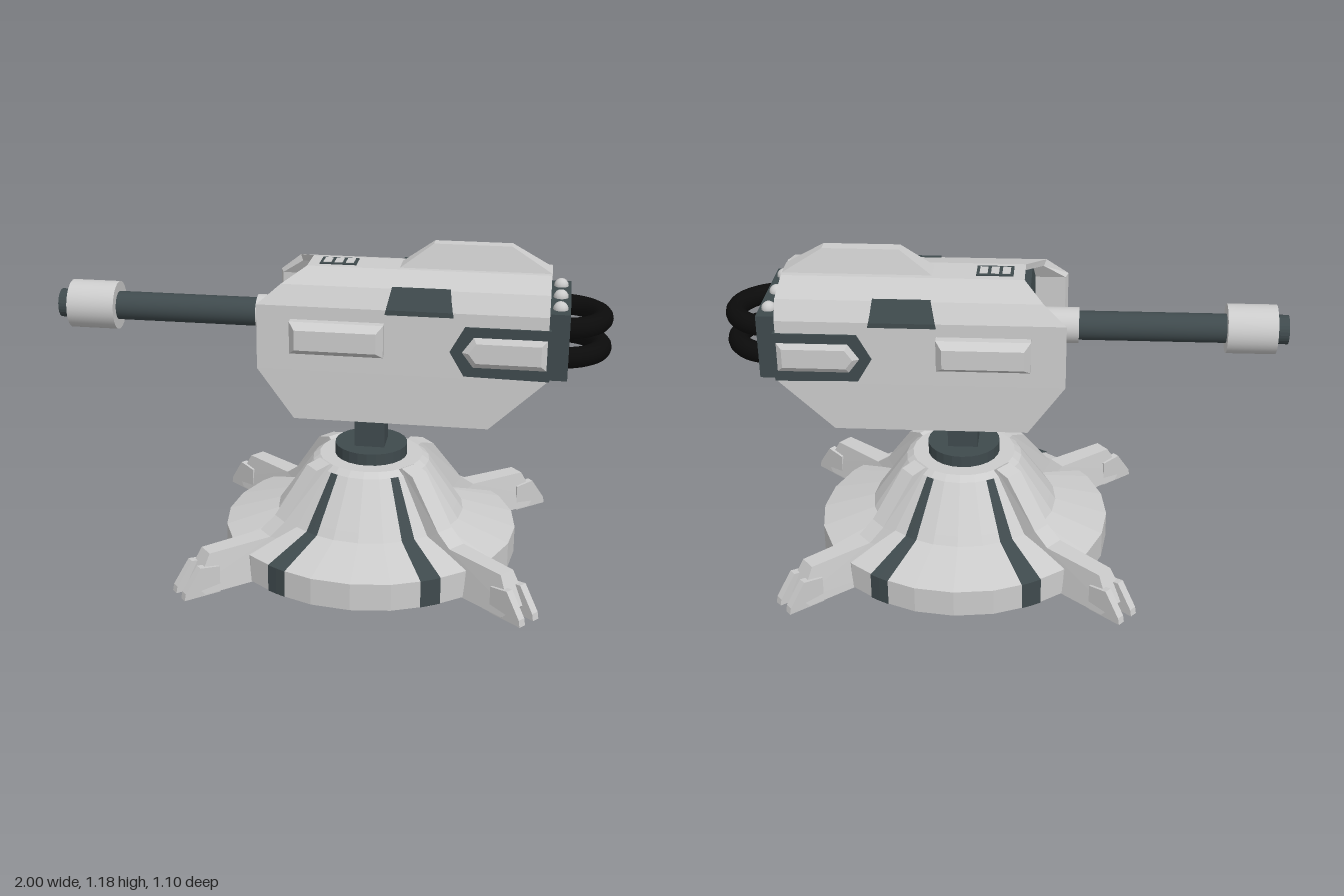
import * as THREE from 'three';

const grey = new THREE.MeshStandardMaterial({ color: 0xcccccc, flatShading: true });
const greySmooth = new THREE.MeshStandardMaterial({ color: 0xcccccc });
const dark = new THREE.MeshStandardMaterial({ color: 0x3f4a4d, flatShading: true });
const darkSmooth = new THREE.MeshStandardMaterial({ color: 0x3f4a4d });
const black = new THREE.MeshStandardMaterial({ color: 0x0b0b0b });

function add(parent, name, geometry, material, x = 0, y = 0, z = 0) {
  const mesh = new THREE.Mesh(geometry, material);
  mesh.name = name;
  mesh.position.set(x, y, z);
  parent.add(mesh);
  return mesh;
}

// Solid along x from a closed loop of [z, y, xStart, xEnd], running from +z over the top to -z
function skin(loop) {
  const pos = [], n = loop.length;
  const p = (i, end) => [loop[i][2 + end], loop[i][1], loop[i][0]];
  const quad = (a, b, c, d) => pos.push(...a, ...b, ...c, ...a, ...c, ...d);
  for (let i = 0; i < n; i++) {
    const j = (i + 1) % n;
    quad(p(i, 0), p(i, 1), p(j, 1), p(j, 0));
  }
  for (let i = 0; i < n / 2 - 1; i++) {
    const ids = [i, i + 1, n - 2 - i, n - 1 - i];
    quad(...ids.map(k => p(k, 0)));
    quad(...ids.reverse().map(k => p(k, 1)));
  }
  const g = new THREE.BufferGeometry();
  g.setAttribute('position', new THREE.Float32BufferAttribute(pos, 3));
  g.computeVertexNormals();
  return g;
}
const mirrored = half => [...half, ...half.map(([z, ...r]) => [-z, ...r]).reverse()];

// Outline in the xy plane extruded from z0 to z1, optionally with a chamfered rim
function plate(points, z0, z1, bevel = 0, inset = bevel) {
  const shape = new THREE.Shape(points.map(q => new THREE.Vector2(...q)));
  const g = new THREE.ExtrudeGeometry(shape, {
    depth: z1 - z0 - 2 * bevel, bevelEnabled: bevel > 0, bevelThickness: bevel,
    bevelSize: inset, bevelOffset: -inset, bevelSegments: 1,
  });
  return g.translate(0, 0, z0 + bevel);
}
const rect = (x0, x1, y0, y1) => [[x0, y0], [x1, y0], [x1, y1], [x0, y1]];

function createBase() {
  const base = new THREE.Group();
  base.name = 'base';
  base.position.x = 0.155;
  const v = (x, y) => new THREE.Vector2(x, y);
  const profile = [v(0.54, 0.01), v(0.54, 0.11), v(0.345, 0.17), v(0.325, 0.2), v(0.215, 0.36)];
  add(base, 'baseCone', new THREE.LatheGeometry([v(0, 0.01), ...profile, v(0.19, 0.378), v(0, 0.378)], 24), grey);

  // Dark inlaid stripes running down the cone
  const stripe = profile.map(q => v(q.x + 0.003, q.y + 0.003));
  for (const deg of [30, 150, 210, 330]) {
    const a = THREE.MathUtils.degToRad(deg), w = THREE.MathUtils.degToRad(8);
    add(base, 'stripe', new THREE.LatheGeometry(stripe, 2, a - w / 2, w), dark);
  }

  // Four legs, narrower towards the top, each ending in two claws
  const legOutline = [[0.15, 0.012], [0.72, 0.005], [0.75, 0.04], [0.69, 0.15], [0.45, 0.157],
    [0.39, 0.2], [0.255, 0.37], [0.2, 0.385], [0.15, 0.36]];
  const legGeo = plate(legOutline, -0.06, 0.06);
  const p = legGeo.attributes.position;
  for (let i = 0; i < p.count; i++) {
    const taper = 1 - 2.6 * Math.min(p.getY(i), 0.16);
    const reach = p.getX(i) > 0.65 ? 0.85 : 1;
    p.setZ(i, p.getZ(i) * taper * reach);
  }
  legGeo.computeVertexNormals();
  const claw = [[0.66, 0], [0.8, 0], [0.795, 0.025], [0.735, 0.11], [0.66, 0.1]];
  for (const deg of [40, 140, 220, 320]) {
    const leg = new THREE.Group();
    leg.name = 'leg';
    leg.rotation.y = THREE.MathUtils.degToRad(deg);
    add(leg, 'legBeam', legGeo, grey);
    for (const s of [-1, 1]) add(leg, 'claw', plate(claw, -0.014, 0.014), grey, 0, 0, s * 0.034);
    base.add(leg);
  }
  add(base, 'collar', new THREE.CylinderGeometry(0.133, 0.133, 0.065, 24), dark, 0, 0.389);
  return base;
}

function createBody() {
  const body = new THREE.Group();
  body.name = 'body';

  // Open-fronted armour shell
  const outer = [[0.24, 0.59, -0.09, 0.59], [0.24, 0.77, -0.22, 0.78], [0.235, 1.0, -0.22, 0.78],
    [0.2, 1.067, -0.14, 0.78], [0.07, 1.1, -0.07, 0.78]];
  const inner = [[0.216, 0.59, -0.09, 0.59], [0.216, 0.77, -0.21, 0.78], [0.213, 0.992, -0.21, 0.78],
    [0.186, 1.047, -0.13, 0.78], [0.066, 1.078, -0.065, 0.78]];
  add(body, 'shell', skin([...mirrored(outer), ...mirrored(inner).reverse()]), grey);

  // Dark core, its grey floor and the rear wall
  add(body, 'core', skin(mirrored([[0.217, 0.635, -0.07, 0.64], [0.217, 0.77, -0.1, 0.775],
    [0.214, 0.995, -0.1, 0.775], [0.187, 1.05, -0.09, 0.775], [0.067, 1.08, -0.06, 0.775]])), dark);
  add(body, 'floor', new THREE.BoxGeometry(0.7, 0.006, 0.43), grey, 0.285, 0.633);
  add(body, 'rearWall', skin(mirrored([0.77, 1, 1.067, 1.1].map((y, i) =>
    [[0.238, 0.234, 0.199, 0.069][i], y - 0.001, 0.76, 0.781]))), grey);

  // Ridge on the roof
  add(body, 'roofFin', skin(mirrored([[0.047, 1.09, 0.25, 0.782], [0.047, 1.1, 0.255, 0.782],
    [0.024, 1.185, 0.37, 0.64]])), grey);

  // Roof vent
  add(body, 'ventFrame', new THREE.BoxGeometry(0.13, 0.008, 0.084), dark, 0.035, 1.1);
  for (let i = -1; i <= 1; i++)
    add(body, 'ventSlat', new THREE.BoxGeometry(0.028, 0.008, 0.06), grey, 0.035 + i * 0.04, 1.102);

  // Matching fittings on both flanks
  for (const s of [1, -1]) {
    const side = new THREE.Group();
    side.name = s > 0 ? 'frontFlank' : 'backFlank';
    side.scale.z = s;
    add(side, 'sidePad', plate(rect(-0.1, 0.225, 0.84, 0.955), 0.21, 0.3, 0.03, 0.022), grey);
    add(side, 'rearInset', plate([[0.45, 0.865], [0.5, 0.78], [0.79, 0.775], [0.79, 0.955], [0.5, 0.955]],
      0.22, 0.243), dark);
    add(side, 'rearPad', plate([[0.49, 0.865], [0.53, 0.812], [0.78, 0.812], [0.78, 0.922], [0.53, 0.922]],
      0.2, 0.256, 0.014, 0.02), grey);
    // Window hugging the upper chamfer
    add(side, 'window', skin([[0.225, 0.985, 0.225, 0.46], [0.241, 0.985, 0.225, 0.46],
      [0.24, 1.002, 0.23, 0.455], [0.205, 1.071, 0.245, 0.445], [0.19, 1.071, 0.245, 0.445],
      [0.19, 1.05, 0.245, 0.445]]), dark);
    body.add(side);
  }

  // Rear housing with bolts and looped hoses
  add(body, 'rearHousing', new THREE.BoxGeometry(0.075, 0.235, 0.42), dark, 0.8125, 0.8875);
  for (const z of [-0.145, 0, 0.145])
    add(body, 'bolt', new THREE.SphereGeometry(0.026, 12, 8), greySmooth, 0.815, 1.007, z);
  for (const y of [0.833, 0.938]) {
    const hose = new THREE.TorusGeometry(0.148, 0.037, 14, 28, Math.PI).rotateZ(-Math.PI / 2).rotateX(Math.PI / 2);
    add(body, 'hose', hose, black, 0.815, y);
  }
  return body;
}

function createGun() {
  const gun = new THREE.Group();
  gun.name = 'gun';
  gun.position.y = 0.9;
  const tube = (name, x0, x1, r, mat) => add(gun, name,
    new THREE.CylinderGeometry(r, r, x1 - x0, 28).rotateZ(Math.PI / 2), mat, (x0 + x1) / 2);
  // Barrel with a hollow bore at the tip
  tube('barrel', -0.95, -0.08, 0.052, darkSmooth);
  const tip = [[0.052, 0], [0.052, 0.06], [0.034, 0.06], [0.034, 0.01], [0, 0.01]];
  add(gun, 'barrelTip', new THREE.LatheGeometry(tip.map(q => new THREE.Vector2(...q)), 28).rotateZ(Math.PI / 2),
    dark, -0.94);
  tube('muzzle', -0.957, -0.782, 0.088, greySmooth);
  tube('sleeve', -0.262, -0.13, 0.064, greySmooth);
  return gun;
}

export function createModel() {
  const model = new THREE.Group();
  model.name = 'turret';
  model.add(createBase(), createBody(), createGun());
  // Cranked neck between base and body
  const neck = [[0.1, 0.4], [0.21, 0.4], [0.21, 0.525], [0.305, 0.59], [0.18, 0.59], [0.1, 0.53]];
  add(model, 'neck', plate(neck, -0.057, 0.057), dark);
  return model;
}
